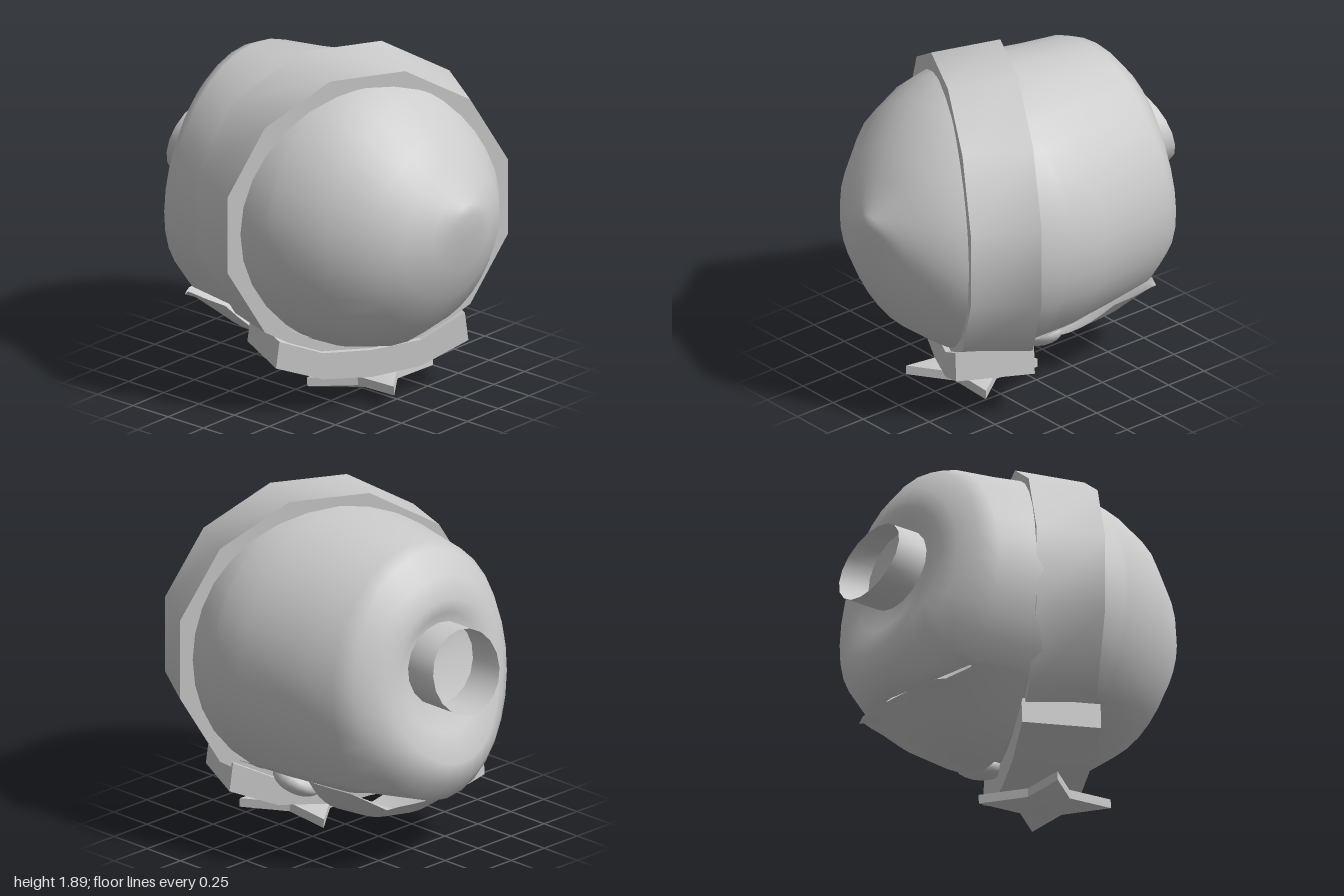
import * as THREE from 'three';
import { mergeVertices, toCreasedNormals } from 'three/addons/utils/BufferGeometryUtils.js';

const material = new THREE.MeshStandardMaterial({ color: 0xcccccc, side: THREE.DoubleSide });

function addMesh(parent, name, geometry) {
  const mesh = new THREE.Mesh(geometry, material);
  mesh.name = name;
  parent.add(mesh);
  return mesh;
}

function addGroup(parent, name) {
  const group = new THREE.Group();
  group.name = name;
  parent.add(group);
  return group;
}

// Smooth surface through rows x cols points given by point(row, col)
function gridSurface(rows, cols, point) {
  const positions = [], index = [];
  for (let i = 0; i < rows; i++) {
    for (let j = 0; j < cols; j++) {
      positions.push(...point(i, j));
      if (i === rows - 1 || j === cols - 1) continue;
      const a = i * cols + j, c = a + cols;
      index.push(a, c, a + 1, a + 1, c, c + 1);
    }
  }
  const geometry = new THREE.BufferGeometry();
  geometry.setAttribute('position', new THREE.Float32BufferAttribute(positions, 3));
  geometry.setIndex(index);
  const merged = mergeVertices(geometry, 1e-4);
  merged.computeVertexNormals();
  return merged;
}

// Hood rings from crown to neck: z, centre y, radius y, radius x, slant, side dip, y of the face cut
const hoodRings = [
  [1.0, 1.18, 0, 0, 0, 0, 0],
  [0.98, 1.14, 0.09, 0.1, 0, 0, 0],
  [0.935, 1.06, 0.22, 0.23, 0, 0, 0],
  [0.86, 1.035, 0.36, 0.39, 0, 0, 0],
  [0.75, 1.02, 0.53, 0.52, 0, 0, 0],
  [0.55, 1.035, 0.7, 0.67, 0, 0, 0],
  [0.35, 1.045, 0.765, 0.74, 0, 0, 0],
  [0.23, 1.045, 0.78, 0.765, 0, 0, 0],
  [0.2, 1.045, 0.78, 0.77, 0, 0, 0.43],
  [0, 1.045, 0.785, 0.775, 0, 0, 0.46],
  [-0.3, 1.03, 0.76, 0.71, 0, 0, 0.48],
  [-0.57, 1.03, 0.74, 0.645, 0.05, 0, 0.48],
  [-0.7, 1.06, 0.68, 0.57, 0.14, 0.03, 0],
  [-0.8, 1.06, 0.56, 0.48, 0.16, 0.07, 0],
  [-0.84, 1.06, 0.44, 0.4, 0.18, 0.07, 0],
  [-0.79, 1.1, 0.32, 0.3, 0.15, 0.03, 0],
  [-0.74, 1.13, 0.2, 0.2, 0.15, 0, 0],
  [-0.73, 1.14, 0, 0, 0, 0, 0],
];

function hoodGeometry() {
  const segments = 32;
  return gridSurface(hoodRings.length, segments + 1, (i, j) => {
    const [z, yc, ry, rx, slant, dip, cut] = hoodRings[i];
    const start = cut ? Math.acos((yc - cut) / ry) : 0;
    const angle = THREE.MathUtils.clamp((j / segments) * 2 * Math.PI, start, 2 * Math.PI - start);
    const dy = -ry * Math.cos(angle);
    return [rx * Math.sin(angle), yc + dy, z + slant * dy + dip * Math.sin(angle) ** 2];
  });
}

// Arched panel facing down; rows hold edge z, middle z, half width, edge y, middle y
function archedPanel(rows) {
  const cols = 17;
  return gridSurface(rows.length, cols, (i, j) => {
    const [zEdge, zMid, halfWidth, yEdge, yMid] = rows[i];
    const s = (2 * j) / (cols - 1) - 1;
    const t = Math.abs(s) ** 1.9;
    return [halfWidth * s, yMid + (yEdge - yMid) * t, zMid + (zEdge - zMid) * t];
  });
}

// Four-pointed star with a raised centre on both faces
function starGeometry() {
  const geometry = new THREE.CylinderGeometry(1, 1, 0.05, 8);
  const p = geometry.attributes.position;
  for (let i = 0; i < p.count; i++) {
    const x = p.getX(i), z = p.getZ(i);
    if (Math.hypot(x, z) < 0.01) {
      p.setY(i, p.getY(i) > 0 ? 0.05 : -0.09);
      continue;
    }
    const onAxis = Math.min(Math.abs(x), Math.abs(z)) < 0.01;
    const r = onAxis ? 0.36 : 0.16;
    p.setXYZ(i, x * r, p.getY(i), z * r);
  }
  return toCreasedNormals(geometry, 0.6);
}

export function createModel() {
  const model = new THREE.Group();
  model.name = 'hoodedHead';

  const head = addGroup(model, 'head');
  head.position.x = 0.03;
  addMesh(head, 'hood', hoodGeometry());

  // Recessed face, eyes and the cover over nose and mouth
  addMesh(head, 'face', archedPanel([
    [0.25, 0.25, 0.54, 0.46, 0.3],
    [0, 0, 0.56, 0.49, 0.29],
    [-0.3, -0.3, 0.5, 0.5, 0.29],
    [-0.57, -0.57, 0.46, 0.51, 0.4],
  ]));
  for (const side of [-1, 1]) {
    const eye = addMesh(head, side > 0 ? 'leftEye' : 'rightEye', new THREE.SphereGeometry(1, 16, 10));
    eye.scale.set(0.14, 0.075, 0.14);
    eye.position.set(side * 0.28, 0.33, 0.055);
    eye.rotation.set(-0.25, 0, side * 0.35);
  }
  addMesh(head, 'mouthCover', archedPanel([
    [-0.28, -0.15, 0.53, 0.48, 0.15],
    [-0.42, -0.38, 0.53, 0.485, 0.17],
    [-0.57, -0.58, 0.5, 0.48, 0.25],
    [-0.71, -0.72, 0.37, 0.39, 0.355],
    [-0.74, -0.77, 0.3, 0.4, 0.39],
  ]));

  // Open neck tube with a slanted end
  const neck = new THREE.CylinderGeometry(0.245, 0.245, 0.22, 18, 1, true).rotateX(-Math.PI / 2);
  neck.scale(1, 0.92, 1);
  const p = neck.attributes.position;
  for (let i = 0; i < p.count; i++) {
    p.setZ(i, p.getZ(i) < 0 ? -0.94 + p.getY(i) * 0.265 : -0.73);
  }
  neck.translate(0, 1.145, 0);
  neck.computeVertexNormals();
  addMesh(head, 'neck', neck);

  // Headband worn at an angle, with its plate and star
  const headband = addGroup(model, 'headband');
  headband.position.z = 0.22;
  headband.rotation.y = -0.49;

  const profile = [[0.7, -0.19], [0.865, -0.19], [0.83, 0.19], [0.7, 0.19], [0.7, -0.19]];
  const points = profile.map(([r, h]) => new THREE.Vector2(r, h));
  const band = new THREE.LatheGeometry(points, 12, Math.PI / 12);
  band.rotateX(Math.PI / 2).translate(-0.015, 1.05, 0);
  addMesh(headband, 'band', toCreasedNormals(band, 0.6));

  const plateShape = new THREE.Shape([
    [-0.55, 0.26], [-0.28, 0.16], [0, 0.135], [0.28, 0.16], [0.55, 0.27],
    [0.53, 0.43], [0.28, 0.31], [0, 0.29], [-0.28, 0.31], [-0.53, 0.41],
  ].map(([x, y]) => new THREE.Vector2(x, y)));
  const plate = new THREE.ExtrudeGeometry(plateShape, { depth: 0.43, bevelEnabled: false });
  addMesh(headband, 'plate', plate.translate(0, 0, -0.21));

  const star = addMesh(headband, 'star', starGeometry());
  star.position.set(0.06, 0.09, 0.03);
  star.rotation.set(-0.05, 0, 0.03);

  return model;
}
